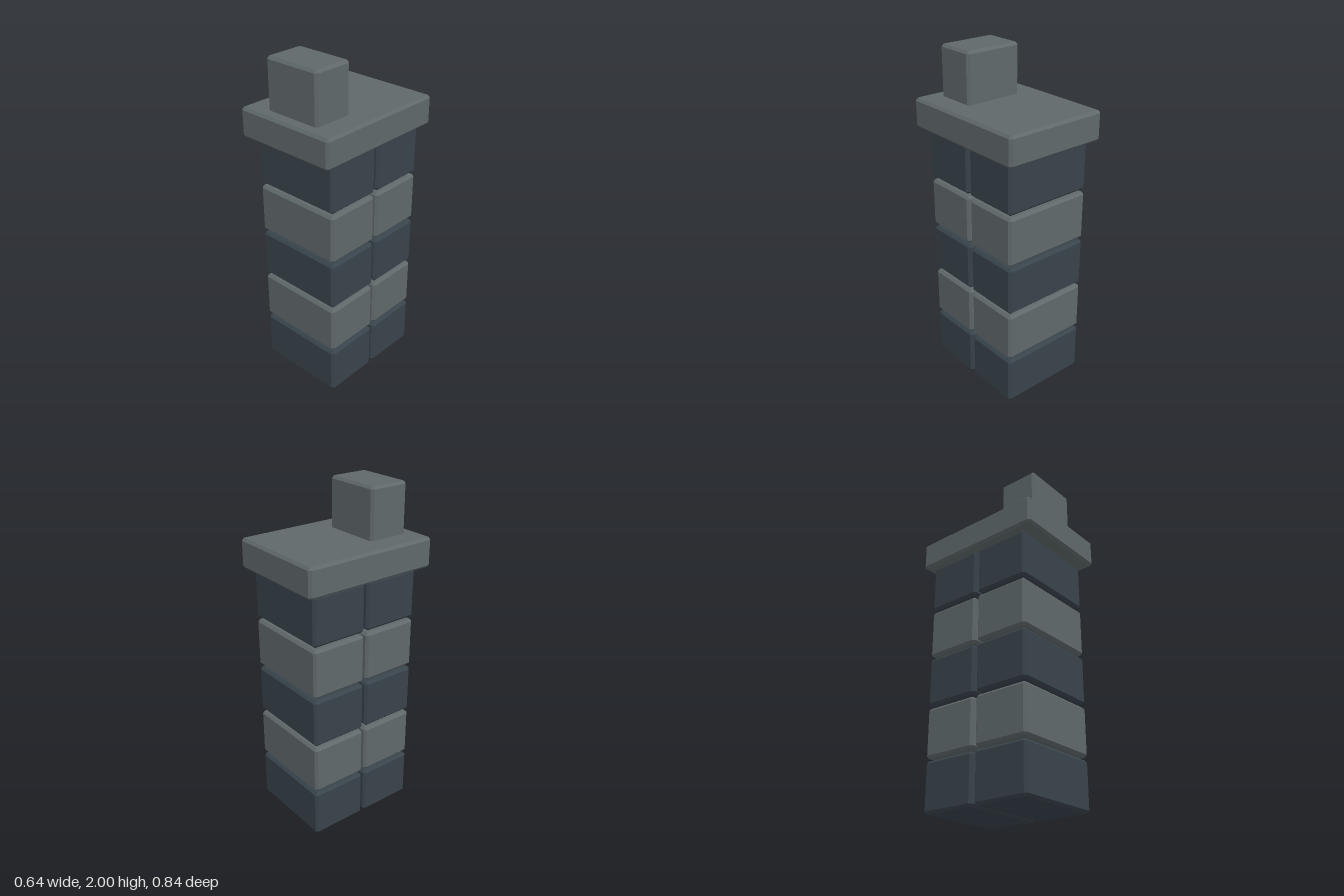
import * as THREE from 'three';
import { ConvexGeometry } from 'three/addons/geometries/ConvexGeometry.js';

const stone = new THREE.MeshStandardMaterial({ color: 0x5f686a });
stone.name = 'grey stone';
const slate = new THREE.MeshStandardMaterial({ color: 0x38434b });
slate.name = 'dark slate';

// Box with every edge chamfered and triangular corners
function chamferedBox(w, h, d, c) {
  const points = [];
  for (const sx of [-1, 1]) for (const sy of [-1, 1]) for (const sz of [-1, 1]) {
    const x = w / 2, y = h / 2, z = d / 2;
    points.push(
      new THREE.Vector3(sx * x, sy * (y - c), sz * (z - c)),
      new THREE.Vector3(sx * (x - c), sy * y, sz * (z - c)),
      new THREE.Vector3(sx * (x - c), sy * (y - c), sz * z));
  }
  return new ConvexGeometry(points);
}

export function createModel() {
  const group = new THREE.Group();
  group.name = 'blockTower';

  const addBlock = (name, material, [x0, x1], [y0, y1], [z0, z1]) => {
    const mesh = new THREE.Mesh(chamferedBox(x1 - x0, y1 - y0, z1 - z0, 0.015), material);
    mesh.position.set((x0 + x1) / 2, (y0 + y1) / 2, (z0 + z1) / 2);
    mesh.name = name;
    group.add(mesh);
  };

  // Five courses of paired blocks in alternating colours
  const pitch = 0.3085, height = 0.293;
  for (let i = 0; i < 5; i++) {
    const y = i * pitch;
    const material = i % 2 ? stone : slate;
    addBlock(`frontBlock${i + 1}`, material, [-0.28, 0.28], [y, y + height], [-0.003, 0.344]);
    addBlock(`backBlock${i + 1}`, material, [-0.28, 0.28], [y, y + height], [-0.366, -0.019]);
  }

  // Overhanging cap slab and the small block on top, near the front
  addBlock('capSlab', stone, [-0.322, 0.322], [1.53, 1.705], [-0.419, 0.419]);
  addBlock('topBlock', stone, [-0.181, 0.181], [1.69, 2], [0.099, 0.348]);

  return group;
}
